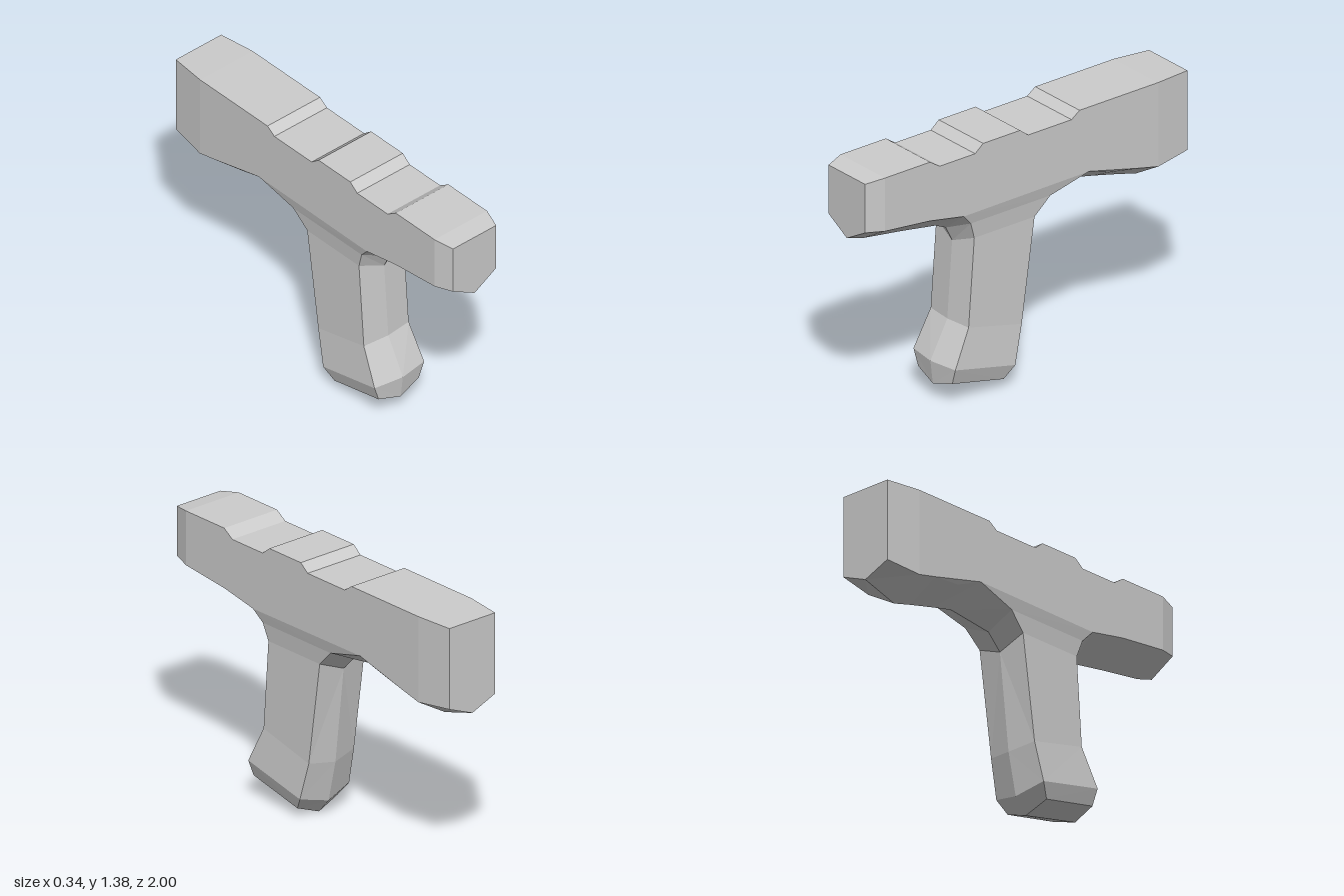
import * as THREE from 'three';

const material = new THREE.MeshStandardMaterial({ color: 0xcccccc, flatShading: true });

// Lower outline from nose to tail: side edge [z, y, halfWidth], then keel point [z, y]
const lower = [
  [1, 1.10, 0.14, 1, 1.02], [0.9, 1.09, 0.17, 0.9, 0.99],
  [0.62, 1.06, 0.17, 0.66, 0.955], [0.41, 1.02, 0.17, 0.45, 0.92],
  [0.355, 0.96, 0.155, 0.385, 0.89], [0.325, 0.87, 0.145, 0.345, 0.81],
  [0.36, 0.40, 0.145, 0.375, 0.40], [0.455, 0.205, 0.16, 0.48, 0.205],
  [0.45, 0.12, 0.13, 0.465, 0.08], [0.13, 0.05, 0.13, 0.12, 0],
  [0.08, 0.12, 0.158, 0.05, 0.08], [0.03, 0.32, 0.145, 0, 0.30],
  [-0.05, 0.87, 0.145, -0.06, 0.81], [-0.14, 0.96, 0.155, -0.14, 0.89],
  [-0.37, 1.025, 0.17, -0.40, 0.92], [-0.51, 0.97, 0.15, -0.53, 0.89],
  [-0.69, 0.945, 0.17, -0.69, 0.85], [-0.8, 0.92, 0.17, -0.8, 0.82],
  [-1, 0.94, 0.147, -1, 0.88],
];
// Stepped flat top from tail back to nose: [z, y, halfWidth]
const upper = [
  [-1, 1.365, 0.147], [-0.8, 1.37, 0.17], [-0.31, 1.37, 0.17], [-0.26, 1.335, 0.17],
  [0.01, 1.335, 0.17], [0.06, 1.375, 0.17], [0.29, 1.375, 0.17], [0.34, 1.335, 0.17],
  [0.56, 1.335, 0.17], [0.62, 1.375, 0.17], [0.9, 1.375, 0.17], [1, 1.36, 0.14],
];
const outline = [...lower, ...upper];
const count = outline.length;
const side = outline.map(([z, y, x]) => new THREE.Vector3(x, y, z));
const keel = outline.map(([z, y, , kz = z, ky = y]) => new THREE.Vector3(0, ky, kz));
// Upper corner of the small notch behind the grip
const NOTCH = side.push(new THREE.Vector3(0.17, 1.035, -0.53)) - 1;

const range = (a, b) => Array.from({ length: b - a + 1 }, (_, i) => a + i);

// Side panels (outline indices) plus rim strips running to the centre line, mirrored in x
function buildPart(name, panels, rims) {
  const positions = [];
  const addTriangle = (a, b, c) => {
    for (const p of [a, b, c]) positions.push(p.x, p.y, p.z);
    for (const p of [a, c, b]) positions.push(-p.x, p.y, p.z);
  };
  for (const panel of panels) {
    const points = panel.map((i) => side[i]);
    const flat = points.map((p) => new THREE.Vector2(-p.z, p.y));
    for (const [a, b, c] of THREE.ShapeUtils.triangulateShape(flat, [])) {
      addTriangle(points[a], points[b], points[c]);
    }
  }
  for (const i of rims) {
    const j = (i + 1) % count;
    addTriangle(side[i], keel[i], keel[j]);
    addTriangle(side[i], keel[j], side[j]);
  }
  const geometry = new THREE.BufferGeometry();
  geometry.setAttribute('position', new THREE.Float32BufferAttribute(positions, 3));
  geometry.computeVertexNormals();
  const mesh = new THREE.Mesh(geometry, material);
  mesh.name = name;
  return mesh;
}

export function createModel() {
  const group = new THREE.Group();
  group.name = 'blockyHandgun';

  // Long upper body: nose, flat sides, tail and notch facet
  group.add(buildPart('upperBody', [
    [0, 1, 29, 30],
    [1, 2, 3, 14, NOTCH, 16, 17, ...range(20, 29)],
    [17, 18, 19, 20],
    [14, 15, 16, NOTCH],
  ], [...range(0, 2), ...range(14, count - 1)]));

  // Grip: flared neck, handle and chamfered foot
  group.add(buildPart('grip', [
    [3, 4, 13, 14], [4, 5, 12, 13], [5, 6, 11, 12], [6, 7, 10, 11], [7, 8, 9, 10],
  ], range(3, 13)));

  return group;
}
